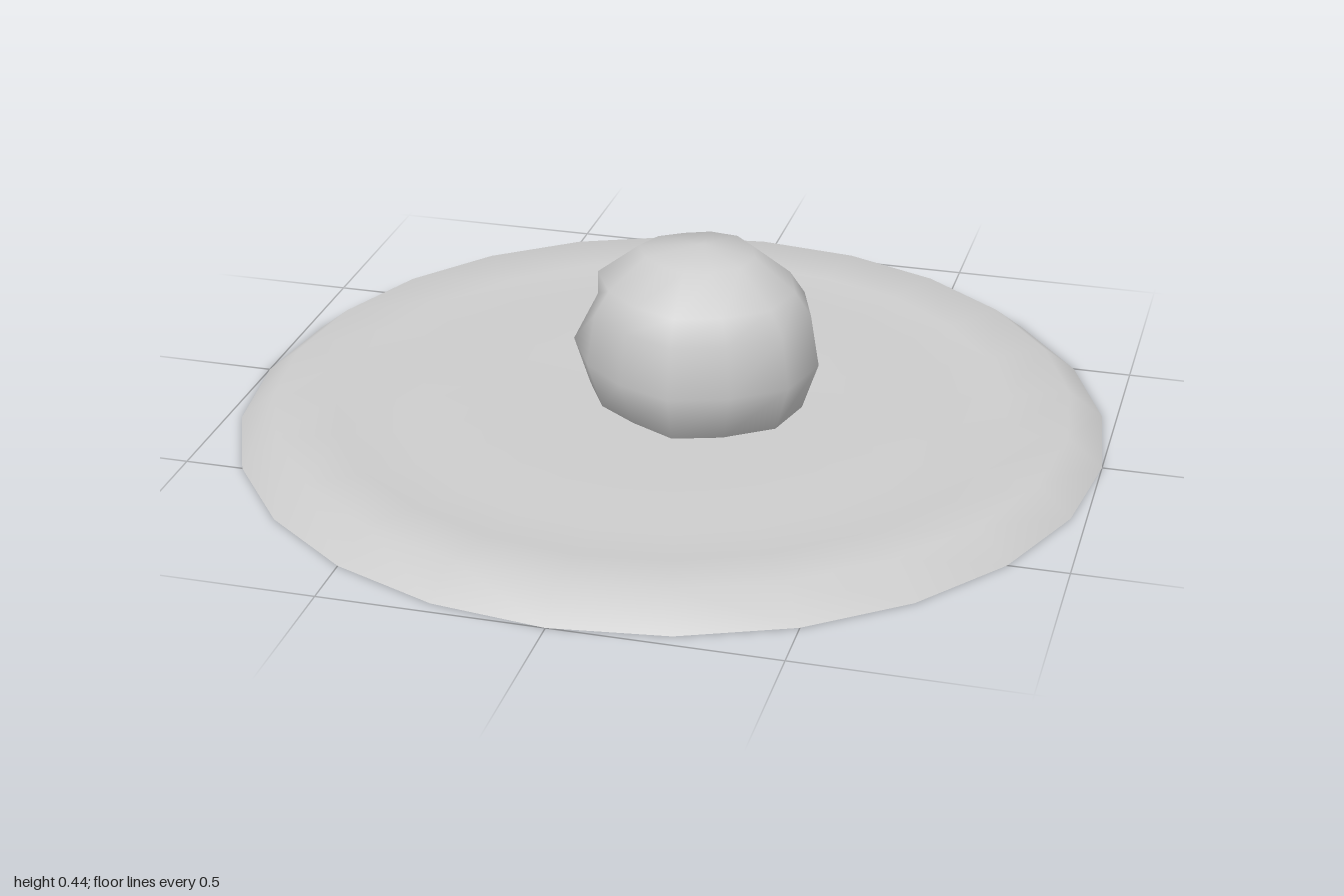
import * as THREE from 'three';

const SIDES = 12;

// Lathe from [radius, height] pairs
function lathe(profile) {
  return new THREE.LatheGeometry(profile.map(([r, y]) => new THREE.Vector2(r, y)), 24);
}

// Lumpy ball: one irregular outline, scaled ring by ring, with a few dents
function ballGeometry() {
  const outline = [0.285, 0.285, 0.26, 0.267, 0.25, 0.26, 0.295, 0.27, 0.24, 0.257, 0.275, 0.275];
  const rings = [ // [height, scale]
    [0.015, 0.5], [0.065, 0.87], [0.175, 1], [0.295, 0.93], [0.35, 0.8], [0.425, 0.47],
  ];
  const dents = { '1,8': 0.85, '2,8': 0.83, '3,7': 0.8, '3,6': 0.86, '1,4': 0.95, '2,9': 0.95 };
  const positions = [];
  rings.forEach(([y, scale], j) => {
    for (let k = 0; k < SIDES; k++) {
      const a = (k / SIDES) * Math.PI * 2;
      const r = outline[k] * scale * (dents[`${j},${k}`] ?? 1);
      positions.push(0.06 + r * Math.cos(a), y, r * Math.sin(a));
    }
  });
  const bottom = rings.length * SIDES;
  const top = bottom + 1;
  positions.push(0.06, 0, 0, 0.07, 0.44, -0.01);

  const index = [];
  for (let k = 0; k < SIDES; k++) {
    const n = (k + 1) % SIDES;
    for (let j = 0; j < rings.length - 1; j++) {
      const a = j * SIDES + k, b = j * SIDES + n;
      index.push(a, a + SIDES, b, b, a + SIDES, b + SIDES);
    }
    const last = (rings.length - 1) * SIDES;
    index.push(bottom, k, n, last + k, top, last + n);
  }
  const geometry = new THREE.BufferGeometry();
  geometry.setAttribute('position', new THREE.Float32BufferAttribute(positions, 3));
  geometry.setIndex(index);
  geometry.computeVertexNormals();
  return geometry;
}

export function createModel() {
  const grey = new THREE.MeshStandardMaterial({ color: 0xcccccc });
  grey.name = 'light grey';
  const model = new THREE.Group();
  model.name = 'ballOnDisc';

  const add = (name, geometry) => {
    const mesh = new THREE.Mesh(geometry, grey);
    mesh.name = name;
    model.add(mesh);
  };

  // Wide disc with a bevelled rim and a faint raised ring
  add('discTop', lathe([[1, 0], [0.92, 0.065], [0.78, 0.055], [0.65, 0.045], [0.59, 0.057], [0.4, 0.052], [0, 0.05]]));
  add('discUnderside', lathe([[0, 0.005], [0.2, 0], [1, 0]]));
  // Misshapen ball resting in the middle
  add('ball', ballGeometry());
  return model;
}
